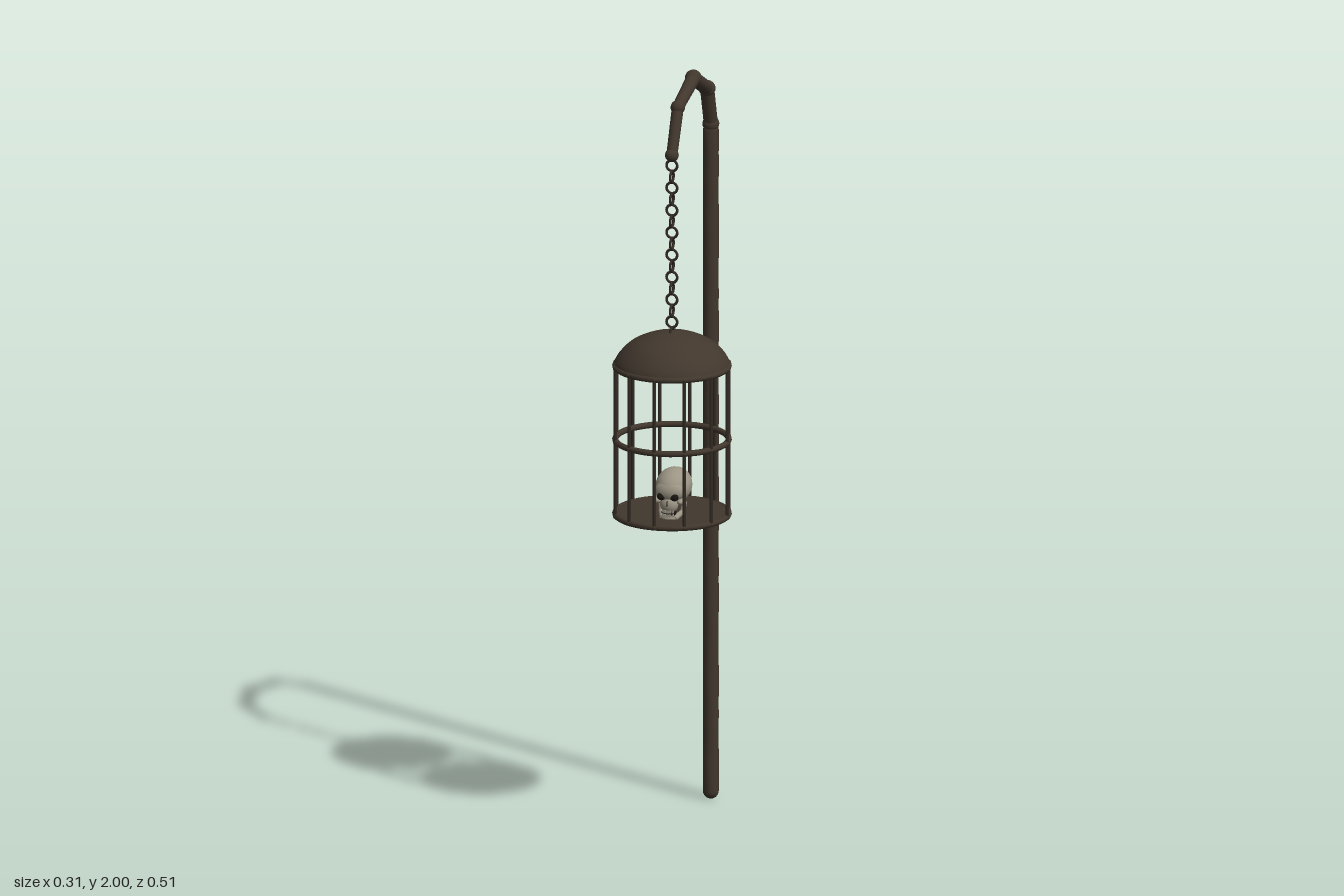
import * as THREE from 'three';

const iron = new THREE.MeshStandardMaterial({ color: 0x41372d });
iron.name = 'rusted iron';
iron.side = THREE.DoubleSide;
const darkIron = new THREE.MeshStandardMaterial({ color: 0x332b24 });
darkIron.name = 'dark iron';
const bone = new THREE.MeshStandardMaterial({ color: 0x9c9585 });
bone.name = 'old bone';
const hollow = new THREE.MeshStandardMaterial({ color: 0x1c1814 });
hollow.name = 'hollow black';

const UP = new THREE.Vector3(0, 1, 0);

function add(parent, name, geometry, material, x = 0, y = 0, z = 0) {
  const mesh = new THREE.Mesh(geometry, material);
  mesh.name = name;
  mesh.position.set(x, y, z);
  parent.add(mesh);
  return mesh;
}

// Straight rod between two points
function rod(parent, name, a, b, r0, r1, material) {
  const dir = b.clone().sub(a);
  const mesh = add(parent, name, new THREE.CylinderGeometry(r1, r0, dir.length(), 14), material);
  mesh.position.copy(a).add(b).multiplyScalar(0.5);
  mesh.quaternion.setFromUnitVectors(UP, dir.normalize());
  return mesh;
}

// Slightly uneven round post with rounded ends
function buildPost() {
  const geo = new THREE.CapsuleGeometry(0.0205, 1.775, 6, 16, 60);
  const p = geo.attributes.position;
  for (let i = 0; i < p.count; i++) {
    const x = p.getX(i), y = p.getY(i), z = p.getZ(i);
    const a = Math.atan2(z, x);
    const k = 1 + 0.025 * Math.sin(y * 43 + Math.cos(a) * 2) * Math.sin(y * 17 + Math.sin(a) * 3);
    p.setXYZ(i, x * k, y, z * k);
  }
  geo.computeVertexNormals();
  return geo;
}

// Bent arm made of straight lengths with swollen joints
function buildArm() {
  const arm = new THREE.Group();
  arm.name = 'arm';
  const path = [[1.815, -0.235], [1.918, -0.203], [1.977, -0.085], [1.933, 0.047], [1.818, 0.098]]
    .map(([y, z]) => new THREE.Vector3(0, y, z));
  const radii = [0.0205, 0.0205, 0.0205, 0.0175, 0.0165];
  path.forEach((p, i) => {
    add(arm, 'armJoint', new THREE.SphereGeometry(radii[i] + 0.0015, 16, 12), iron, p.x, p.y, p.z);
    if (i) rod(arm, 'armLength', path[i - 1], p, radii[i - 1] - 0.002, radii[i] - 0.002, iron);
  });
  return arm;
}

// Round links turned a quarter turn each time
function buildChain() {
  const chain = new THREE.Group();
  chain.name = 'chain';
  const link = new THREE.TorusGeometry(0.0145, 0.0036, 8, 18);
  for (let i = 0; i < 16; i++) {
    const mesh = add(chain, 'chainLink', link, darkIron, 0, 1.79 - i * 0.03, 0.098);
    if (i % 2) mesh.rotation.y = Math.PI / 2;
  }
  return chain;
}

function buildCage() {
  const cage = new THREE.Group();
  cage.name = 'cage';
  cage.position.z = 0.097;
  const R = 0.15;

  // Domed roof, open underneath
  const profile = new THREE.SplineCurve([
    [0.152, 1.25], [0.147, 1.268], [0.131, 1.291], [0.104, 1.315], [0.065, 1.333], [0.03, 1.342], [0.0001, 1.346],
  ].map(([x, y]) => new THREE.Vector2(x, y)));
  add(cage, 'roof', new THREE.LatheGeometry(profile.getPoints(24), 48), iron);

  // Hoops and floor
  for (const y of [0.856, 1.055, 1.253]) {
    const hoop = add(cage, 'hoop', new THREE.TorusGeometry(R - 0.003, 0.008, 10, 48), iron, 0, y, 0);
    hoop.rotation.x = Math.PI / 2;
  }
  add(cage, 'floor', new THREE.CylinderGeometry(R - 0.002, R - 0.002, 0.014, 48), iron, 0, 0.855, 0);

  // Bars with a rivet at every hoop
  const barGeo = new THREE.CylinderGeometry(0.0048, 0.0048, 0.4, 8);
  const rivetGeo = new THREE.SphereGeometry(0.0065, 10, 8);
  for (let i = 0; i < 12; i++) {
    const a = i * Math.PI / 6;
    const x = Math.cos(a) * R, z = Math.sin(a) * R;
    add(cage, 'bar', barGeo, darkIron, x, 1.055, z);
    for (const y of [0.856, 1.055, 1.253]) add(cage, 'rivet', rivetGeo, iron, x, y, z);
  }
  return cage;
}

function buildSkull() {
  const skull = new THREE.Group();
  skull.name = 'skull';
  skull.position.set(0.014, 0.93, 0.13);
  const ball = new THREE.SphereGeometry(1, 24, 18);
  const blob = (name, mat, x, y, z, sx, sy, sz) => {
    const mesh = add(skull, name, ball, mat, x, y, z);
    mesh.scale.set(sx, sy, sz);
    return mesh;
  };

  // Braincase, brow, face and jaw
  blob('braincase', bone, 0, 0.01, -0.005, 0.047, 0.046, 0.058).rotation.x = 0.22;
  blob('brow', bone, 0, 0.003, 0.03, 0.04, 0.03, 0.024);
  blob('upperJaw', bone, 0, -0.031, 0.035, 0.024, 0.024, 0.02);
  blob('chin', bone, 0, -0.067, 0.036, 0.022, 0.011, 0.015);
  for (const s of [-1, 1]) {
    blob('cheek', bone, s * 0.031, -0.022, 0.03, 0.011, 0.009, 0.017);
    const a = new THREE.Vector3(s * 0.033, -0.028, 0.005);
    const b = new THREE.Vector3(s * 0.029, -0.055, 0.012);
    const c = new THREE.Vector3(s * 0.016, -0.067, 0.04);
    rod(skull, 'jawBranch', a, b, 0.006, 0.007, bone);
    rod(skull, 'jawBody', b, c, 0.007, 0.008, bone);
    blob('eyeSocket', hollow, s * 0.0175, -0.008, 0.0475, 0.0115, 0.0105, 0.006);
  }

  // Nose hole, mouth and teeth
  const nose = add(skull, 'noseHole', new THREE.ConeGeometry(0.007, 0.016, 3), hollow, 0, -0.024, 0.053);
  nose.scale.z = 0.6;
  blob('mouth', hollow, 0, -0.052, 0.036, 0.02, 0.012, 0.014);
  const tooth = new THREE.BoxGeometry(0.0052, 0.008, 0.004);
  for (let i = -2; i <= 2; i++) {
    const z = 0.053 - i * i * 0.0016;
    for (const y of [-0.047, -0.058]) add(skull, 'tooth', tooth, bone, i * 0.0066, y, z);
  }
  return skull;
}

export function createModel() {
  const model = new THREE.Group();
  model.name = 'hangingCage';
  add(model, 'post', buildPost(), iron, 0, 0.91, -0.235);
  model.add(buildArm(), buildChain(), buildCage(), buildSkull());
  return model;
}
